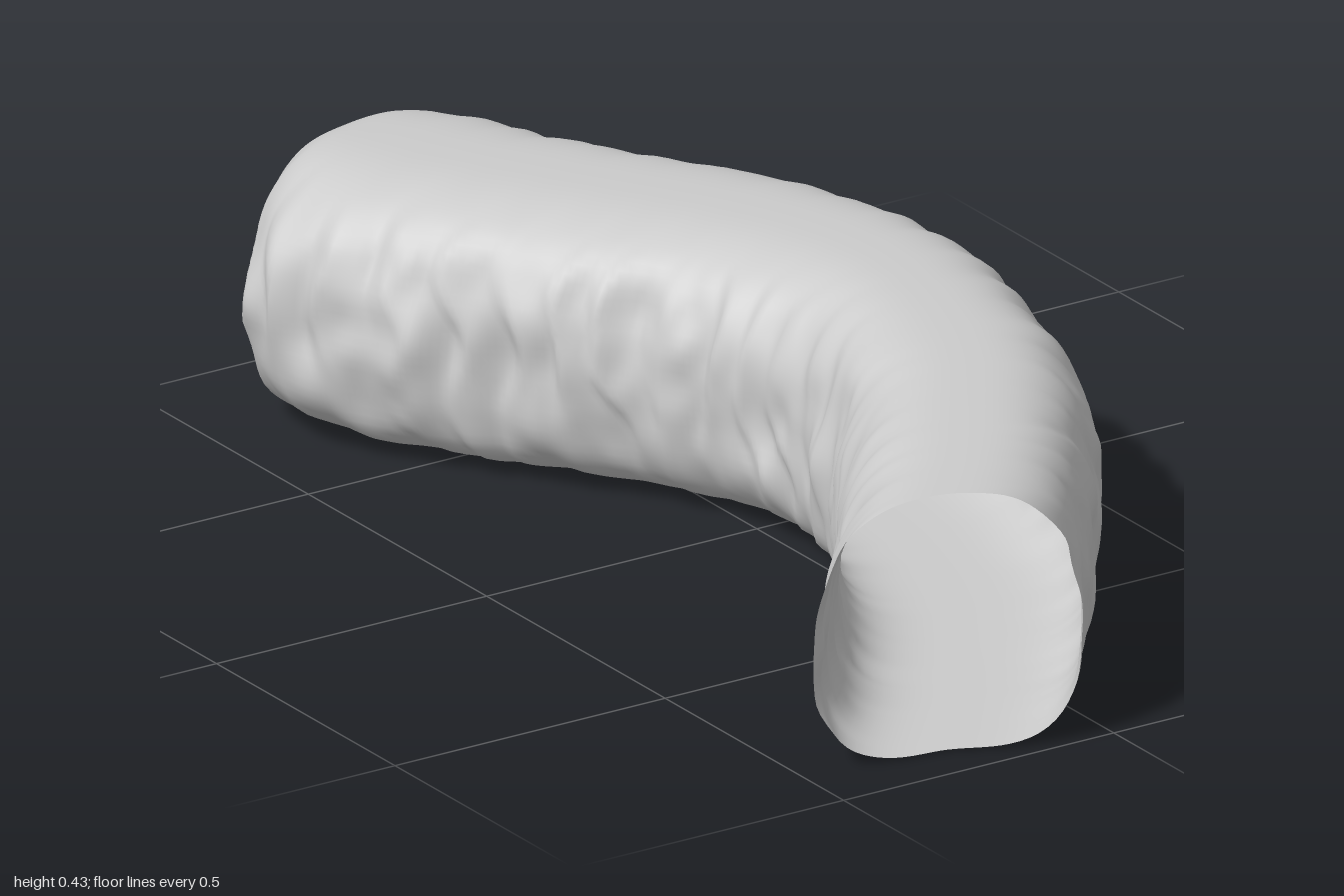
import * as THREE from 'three';

// Stations from the open cuff to the closed end:
// outer edge x, z, inner edge x, z, half height
const STATIONS = [
  [-0.055, 0.985, -0.455, 0.86, 0.212],
  [0.06, 0.85, -0.32, 0.70, 0.214],
  [0.17, 0.70, -0.22, 0.56, 0.215],
  [0.29, 0.51, -0.12, 0.40, 0.215],
  [0.38, 0.28, -0.05, 0.23, 0.215],
  [0.44, 0.03, -0.03, 0.06, 0.215],
  [0.44, -0.15, -0.065, -0.06, 0.215],
  [0.39, -0.32, -0.13, -0.19, 0.215],
  [0.30, -0.49, -0.225, -0.33, 0.215],
  [0.22, -0.64, -0.32, -0.47, 0.215],
  [0.16, -0.77, -0.40, -0.61, 0.213],
  [0.11, -0.88, -0.43, -0.76, 0.207],
  [0.05, -0.95, -0.37, -0.85, 0.19],
  [-0.06, -0.995, -0.25, -0.945, 0.13],
  [-0.15, -0.98, -0.15, -0.98, 0],
];
const RINGS = 240, SIDES = 96, MID = 0.215;

// Smooth seeded lattice noise in -1..1
function hash(i, j, k) {
  const s = Math.sin(i * 127.1 + j * 311.7 + k * 74.7) * 43758.5453;
  return (s - Math.floor(s)) * 2 - 1;
}
function noise(x, y, k) {
  const i = Math.floor(x), j = Math.floor(y);
  const fade = (t) => t * t * (3 - 2 * t);
  const u = fade(x - i), v = fade(y - j), mix = THREE.MathUtils.lerp;
  return mix(mix(hash(i, j, k), hash(i + 1, j, k), u),
    mix(hash(i, j + 1, k), hash(i + 1, j + 1, k), u), v);
}

// Cloth folds: stepped ridges across the sides, deeper past the bend
function fold(along, y, side) {
  const depth = THREE.MathUtils.lerp(0.013, 0.02, THREE.MathUtils.smoothstep(along, 0.4, 1.2));
  const wander = 0.5 * noise(along * 6, y * 9, side + 8);
  const phase = along * 10.5 + wander + y * 1.2 * side;
  const saw = phase - Math.floor(phase);
  const ridge = saw < 0.7 ? saw / 0.7 : (1 - saw) / 0.3;
  return depth * ((ridge * 2 - 1) * 0.45 * (0.6 + 0.4 * noise(along * 4, y * 8, side + 2))
    + 0.7 * noise(along * 13, y * 10, side) + 0.3 * noise(along * 24, y * 18, side + 5));
}

function sleeveGeometry() {
  const outer = new THREE.CatmullRomCurve3(STATIONS.map((s) => new THREE.Vector3(s[0], s[4], s[1])));
  const inner = new THREE.CatmullRomCurve3(STATIONS.map((s) => new THREE.Vector3(s[2], s[4], s[3])));
  const positions = [], index = [];
  const smooth = THREE.MathUtils.smoothstep;
  let along = 0, last = null;
  for (let i = 0; i <= RINGS; i++) {
    const t = i / RINGS;
    const o = outer.getPoint(t), n = inner.getPoint(t);
    const across = o.clone().sub(n).setY(0);
    const half = across.length() / 2;
    if (half > 1e-5) across.normalize();
    const height = Math.max(0, o.y);
    const centre = o.clone().add(n).multiplyScalar(0.5);
    if (last) along += centre.distanceTo(last);
    last = centre;
    const capFade = 1 - smooth(t, 0.84, 0.97);
    for (let j = 0; j < SIDES; j++) {
      // Cross-section with a square, flat base and rounder shoulders
      const a = (j / SIDES) * Math.PI * 2, c = Math.cos(a), s = Math.sin(a);
      const power = s > 0 ? 2.9 : 3.8;
      const r = Math.pow(Math.abs(c) ** power + Math.abs(s) ** power, -1 / power);
      const y = MID + s * r * height;
      const taper = 1 - 0.07 * smooth(y, 0.18, 0.4);
      const sideways = c * r * half * taper
        + c * Math.abs(c) ** 0.2 * capFade * fold(along, y, c > 0 ? 1 : -1);
      // Uneven cuff edge
      const ragged = 0.014 * noise(c * 2.5 + 9, s * 2.5 + 9, 3) * Math.max(0, 1 - t * 18);
      positions.push(
        centre.x + across.x * sideways - ragged * 0.6,
        y,
        centre.z + across.z * sideways + ragged);
    }
  }
  for (let i = 0; i < RINGS; i++) {
    for (let j = 0; j < SIDES; j++) {
      const k = (j + 1) % SIDES;
      const a = i * SIDES + j, b = i * SIDES + k;
      const c = a + SIDES, d = b + SIDES;
      index.push(a, c, b);
      if (i < RINGS - 1) index.push(b, c, d);
    }
  }
  const geometry = new THREE.BufferGeometry();
  geometry.setAttribute('position', new THREE.Float32BufferAttribute(positions, 3));
  geometry.setIndex(index);
  geometry.computeVertexNormals();
  return geometry;
}

export function createModel() {
  const group = new THREE.Group();
  group.name = 'bentSleeve';
  const material = new THREE.MeshStandardMaterial({ color: 0xcccccc, side: THREE.DoubleSide });
  const sleeve = new THREE.Mesh(sleeveGeometry(), material);
  sleeve.name = 'sleeve';
  group.add(sleeve);
  return group;
}
